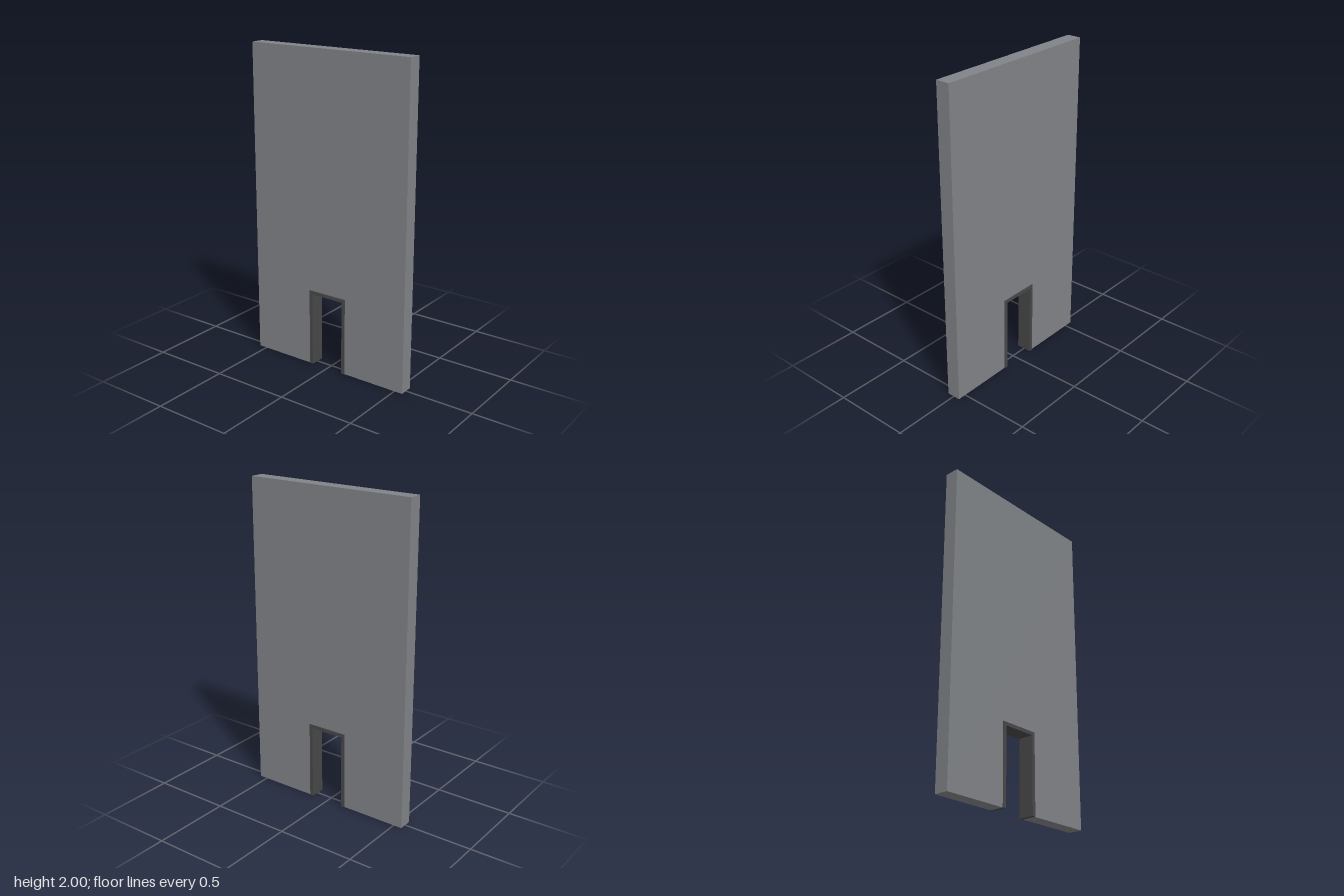
import * as THREE from 'three';

// Outline of an upright slab with a doorway cut up from its bottom edge
function archShape(halfWidth, height, holeHalfWidth, holeHeight) {
  return new THREE.Shape([
    [-halfWidth, 0], [-holeHalfWidth, 0], [-holeHalfWidth, holeHeight],
    [holeHalfWidth, holeHeight], [holeHalfWidth, 0], [halfWidth, 0],
    [halfWidth, height], [-halfWidth, height],
  ].map(([x, y]) => new THREE.Vector2(x, y)));
}

function archMesh(name, shape, depth, material) {
  const geometry = new THREE.ExtrudeGeometry(shape, { depth, bevelEnabled: false });
  geometry.translate(0, 0, -depth / 2);
  const mesh = new THREE.Mesh(geometry, material);
  mesh.name = name;
  return mesh;
}

export function createModel() {
  const wallGrey = new THREE.MeshStandardMaterial({ color: 0x808387 });
  wallGrey.name = 'wall grey';
  const frameGrey = new THREE.MeshStandardMaterial({ color: 0x484848 });
  frameGrey.name = 'dark frame grey';

  const group = new THREE.Group();
  group.name = 'wallWithDoorway';

  // Tall wall panel, cut out to the outside of the door frame
  group.add(archMesh('wall', archShape(0.555, 2, 0.133, 0.5), 0.089, wallGrey));

  // Door frame lining the opening, slightly proud of both faces
  group.add(archMesh('doorFrame', archShape(0.133, 0.5, 0.111, 0.478), 0.099, frameGrey));

  return group;
}
